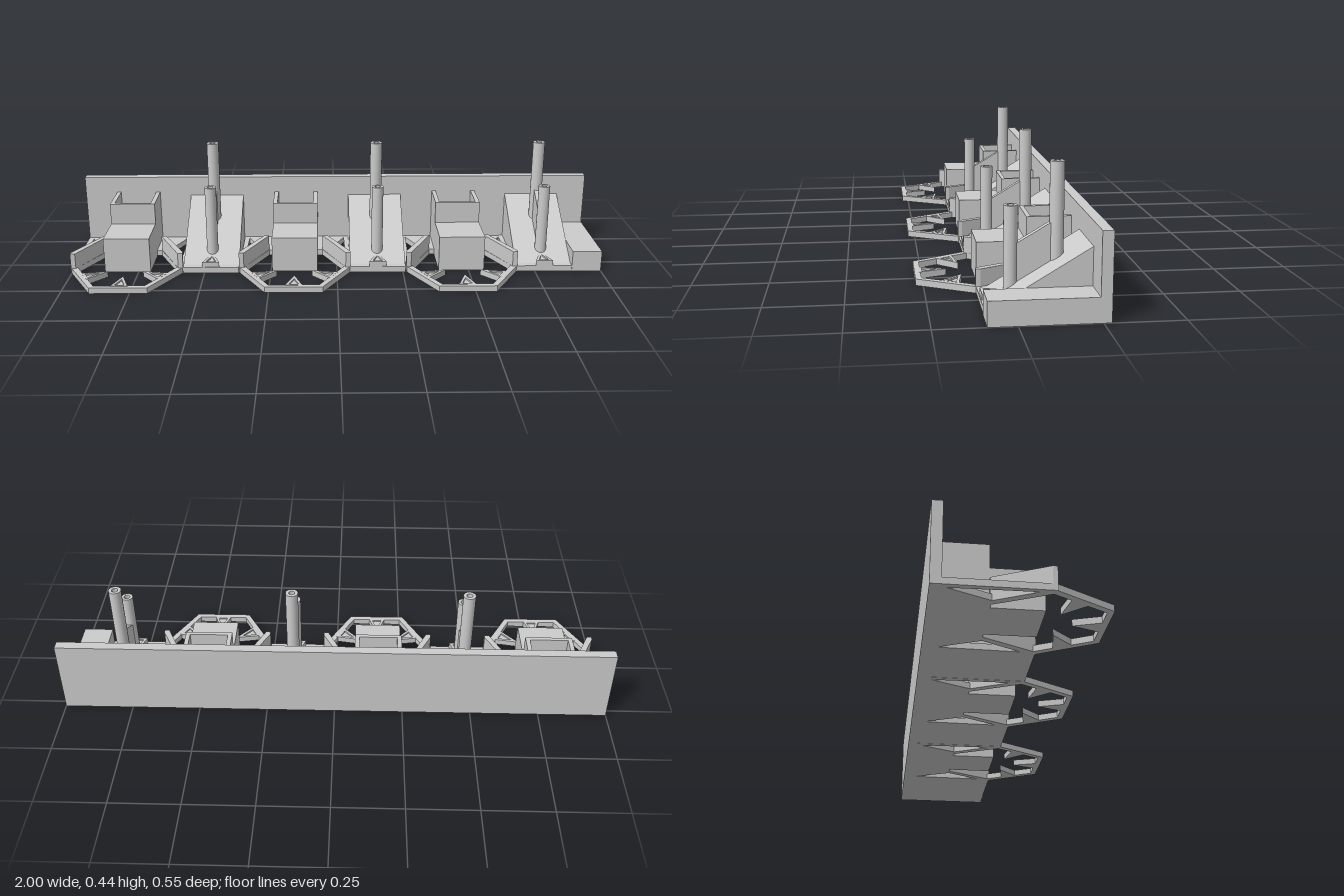
import * as THREE from 'three';

const material = new THREE.MeshStandardMaterial({ color: 0xcccccc, side: THREE.DoubleSide });

function add(parent, name, geometry, x = 0, y = 0, z = 0) {
  const mesh = new THREE.Mesh(geometry, material);
  mesh.name = name;
  mesh.position.set(x, y, z);
  parent.add(mesh);
  return mesh;
}

// Box given by its limits along each axis
function block(parent, name, x0, x1, y0, y1, z0, z1) {
  return add(parent, name, new THREE.BoxGeometry(x1 - x0, y1 - y0, z1 - z0),
    (x0 + x1) / 2, (y0 + y1) / 2, (z0 + z1) / 2);
}

const flip = (points) => points.map(([x, z]) => new THREE.Vector2(x, -z));

// Flat plate from [x, z] outlines, rising from y = 0
function plate(outline, holes, height) {
  const shape = new THREE.Shape(flip(outline));
  holes.forEach((h) => shape.holes.push(new THREE.Path(flip(h))));
  return new THREE.ExtrudeGeometry(shape, { depth: height, bevelEnabled: false }).rotateX(-Math.PI / 2);
}

// Side profile in [z, y], extruded across x about the centre
function sideProfile(points, width) {
  const shape = new THREE.Shape(points.map(([z, y]) => new THREE.Vector2(-z, y)));
  return new THREE.ExtrudeGeometry(shape, { depth: width, bevelEnabled: false })
    .translate(0, 0, -width / 2).rotateY(Math.PI / 2);
}

// Hollow upright tube
function tube(radius, bore, y0, y1) {
  const floor = y1 - 0.1;
  const points = [[0, y0], [radius, y0], [radius, y0], [radius, y1], [radius, y1],
    [bore, y1], [bore, y1], [bore, floor], [bore, floor], [0, floor]];
  return new THREE.LatheGeometry(points.map(([r, y]) => new THREE.Vector2(r, y)), 28);
}

const mirror = (points) => points.map(([x, z]) => [-x, z]).reverse();

// Pointed tooth: base on z = 0, tip towards -z, with a sunken centre
function tooth(parent, name, x, z, angle, height) {
  const group = new THREE.Group();
  group.name = name;
  const inner = [[-0.018, -0.01], [0.018, -0.01], [0, -0.062]];
  add(group, 'toothRim', plate([[-0.032, 0], [0.032, 0], [0, -0.092]], [inner], height));
  add(group, 'toothCentre', plate(inner, [], height - 0.006));
  group.position.set(x, 0, z);
  group.rotation.y = angle;
  parent.add(group);
}

function createHolder() {
  const group = new THREE.Group();
  group.name = 'holder';

  // Floor with a front hoop and openings
  const gap = [[0.19, -0.225], [0.13, -0.09], [0.195, 0.04]];
  const half = [[0.105, -0.09], [0.187, 0.08], [0.093, 0.255]];
  add(group, 'floorAndHoop', plate(
    [[-0.21, -0.24], [0.21, -0.24], [0.21, 0.085], [0.105, 0.275], [-0.105, 0.275], [-0.21, 0.085]],
    [gap, mirror(gap), [...half, ...mirror(half)]], 0.022));

  // Slanted struts and hoop teeth
  for (const s of [-1, 1]) {
    const strut = [[0.105, -0.095], [0.125, -0.095], [0.21, 0.075], [0.21, 0.09], [0.192, 0.09]];
    add(group, 'strut', plate(s > 0 ? strut : mirror(strut), [], 0.08));
    tooth(group, 'sideTooth', s * 0.146, 0.166, s * 1.066, 0.0225);
  }
  tooth(group, 'frontTooth', 0, 0.26, 0, 0.0225);

  // Stepped box with an open pocket at the back
  block(group, 'boxStep', -0.086, 0.086, 0, 0.134, -0.1, 0.075);
  block(group, 'pocketFloor', -0.086, 0.086, 0, 0.16, -0.24, -0.1);
  add(group, 'pocketWalls', plate(
    [[-0.086, -0.24], [-0.086, -0.09], [0.086, -0.09], [0.086, -0.24],
      [0.07, -0.24], [0.07, -0.105], [-0.07, -0.105], [-0.07, -0.24]], [], 0.215));
  return group;
}

function createRamp() {
  const group = new THREE.Group();
  group.name = 'ramp';
  add(group, 'rampBody', sideProfile(
    [[-0.24, 0], [0.088, 0], [0.088, 0.022], [0.058, 0.022], [-0.24, 0.201]], 0.21));
  add(group, 'fin', sideProfile([[-0.14, 0.1], [-0.02, 0.04], [-0.02, 0.19], [-0.14, 0.261]], 0.022));
  add(group, 'shortPeg', tube(0.0215, 0.011, 0.03, 0.31), 0, 0, -0.005);
  add(group, 'tallPeg', tube(0.0225, 0.011, 0.08, 0.443), 0, 0, -0.147);
  tooth(group, 'rampTooth', 0, 0.085, 0, 0.042);
  return group;
}

export function createModel() {
  const model = new THREE.Group();
  model.name = 'rack';
  block(model, 'backWall', -1, 1, 0, 0.277, -0.275, -0.24);
  block(model, 'endBlock', 0.89, 1, 0, 0.079, -0.24, 0.09);

  // Three holders, each followed by a ramp
  for (let i = 0; i < 3; i++) {
    const holder = createHolder();
    holder.position.x = -0.79 + i * 0.631;
    const ramp = createRamp();
    ramp.position.x = -0.476 + i * 0.631;
    model.add(holder, ramp);
  }
  return model;
}
